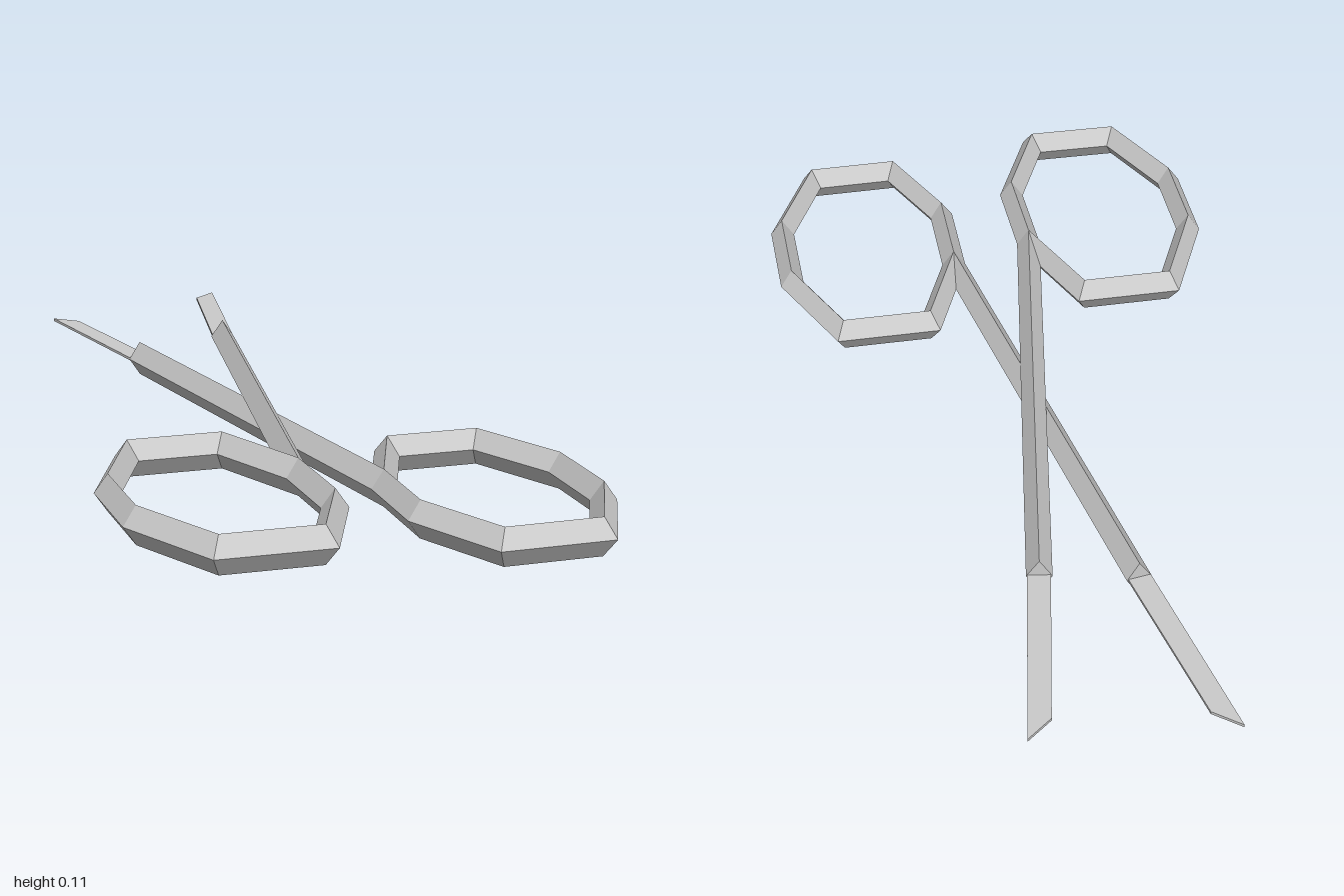
import * as THREE from 'three';

const material = new THREE.MeshStandardMaterial({ color: 0xcccccc, flatShading: true });
const HALF_W = 0.026, HALF_H = 0.038;

// Sweeps a diamond section along a flat [x, z] path with mitred corners
function sweepDiamond(path, closed) {
  const n = path.length;
  const at = i => path[(i + n) % n];
  const direction = (a, b) => new THREE.Vector2(b[0] - a[0], b[1] - a[1]).normalize();
  const sections = path.map((p, i) => {
    const out = direction(p, at(i + 1)), into = direction(at(i - 1), p);
    const before = !closed && i === 0 ? out : into;
    const after = !closed && i === n - 1 ? into : out;
    const mid = before.clone().add(after).normalize();
    const w = HALF_W / mid.dot(after);
    const ox = mid.y * w, oz = -mid.x * w;
    return [
      [p[0] + ox, 0, p[1] + oz], [p[0], HALF_H, p[1]],
      [p[0] - ox, 0, p[1] - oz], [p[0], -HALF_H, p[1]],
    ];
  });
  const positions = [];
  const quad = (a, b, c, d) => positions.push(...a, ...b, ...c, ...a, ...c, ...d);
  for (let i = 0; i < (closed ? n : n - 1); i++) {
    const s = sections[i], t = sections[(i + 1) % n];
    for (let k = 0; k < 4; k++) quad(s[k], s[(k + 1) % 4], t[(k + 1) % 4], t[k]);
  }
  if (!closed) {
    const s = sections[0], e = sections[n - 1];
    quad(s[3], s[2], s[1], s[0]);
    quad(e[0], e[1], e[2], e[3]);
  }
  const geometry = new THREE.BufferGeometry();
  geometry.setAttribute('position', new THREE.Float32BufferAttribute(positions, 3));
  geometry.computeVertexNormals();
  return geometry;
}

function addPart(group, name, geometry) {
  const mesh = new THREE.Mesh(geometry, material);
  mesh.name = name;
  group.add(mesh);
  return mesh;
}

// One half: finger loop on one side, its blade crossing to the other
function createHalf(name, side, y) {
  const half = new THREE.Group();
  half.name = name;
  half.position.y = y;
  const mirror = points => points.map(([x, z]) => [x * side, z]);

  // Eight-cornered finger loop
  addPart(half, 'fingerLoop', sweepDiamond(mirror([
    [-0.368, 0.347], [-0.174, 0.347], [-0.087, 0.566], [-0.084, 0.772],
    [-0.17, 0.971], [-0.366, 0.969], [-0.46, 0.764], [-0.46, 0.558],
  ]), true));

  // Straight shank from the loop past the crossing
  addPart(half, 'shank', sweepDiamond(mirror([[-0.087, 0.566], [0.1, -0.565]]), false));

  // Thin flat blade with a slanted tip
  const outline = mirror([[0.074, -0.55], [0.122, -0.55], [0.203, -1], [0.15, -0.955]]);
  const shape = new THREE.Shape(outline.map(([x, z]) => new THREE.Vector2(x, -z)));
  const blade = new THREE.ExtrudeGeometry(shape, { depth: 0.006, bevelEnabled: false });
  blade.translate(0, 0, -0.003).rotateX(-Math.PI / 2);
  addPart(half, 'blade', blade);
  return half;
}

export function createModel() {
  const scissors = new THREE.Group();
  scissors.name = 'scissors';
  scissors.add(createHalf('upperHalf', 1, 0.076), createHalf('lowerHalf', -1, 0.038));
  return scissors;
}
